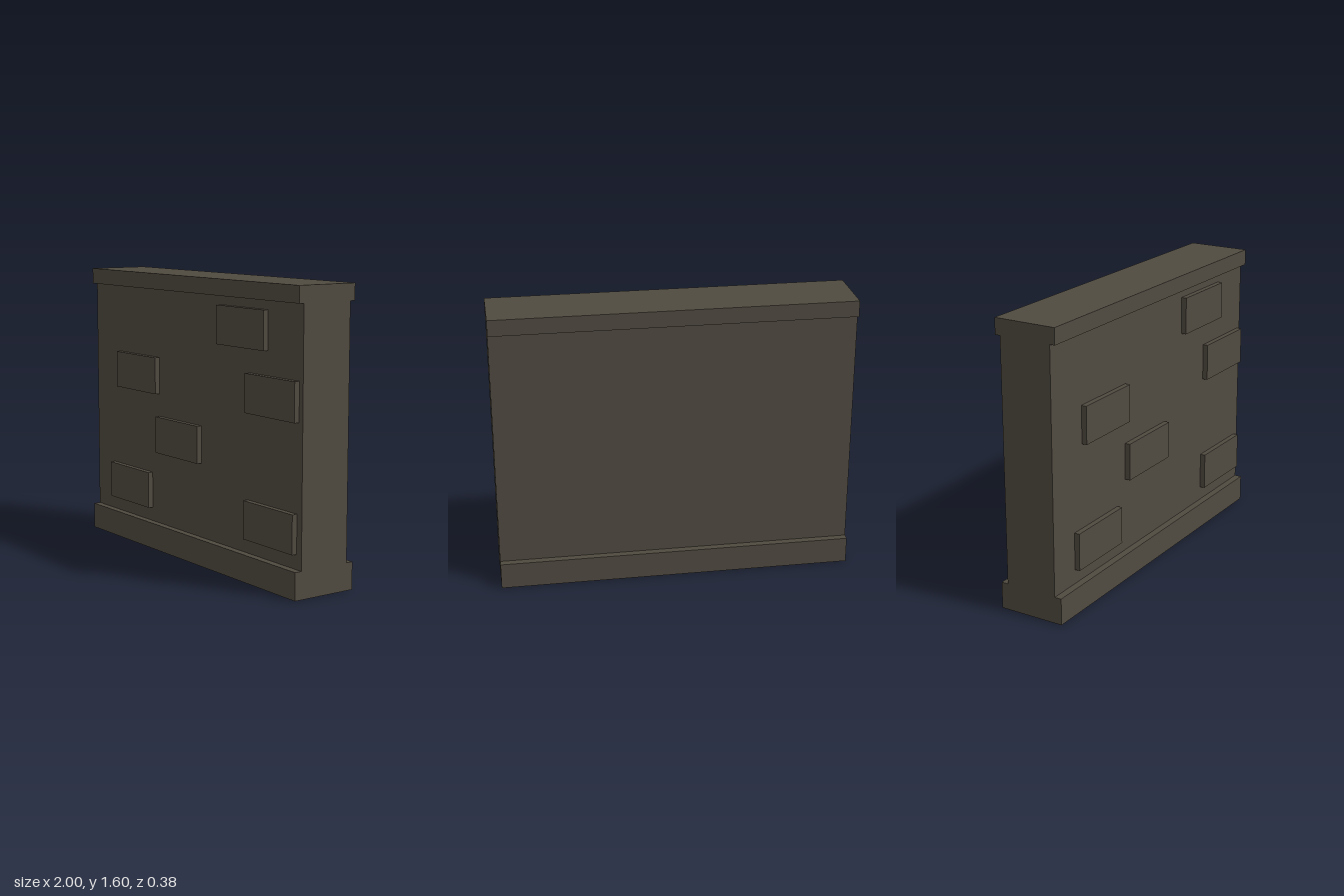
import * as THREE from 'three';

export function createModel() {
  const wall = new THREE.Group();
  wall.name = 'stoneWall';
  const stone = new THREE.MeshStandardMaterial({ color: 0x504a40 });
  stone.name = 'dark stone';

  // Box given by its width, vertical span and depth span
  const addBox = (name, x, width, [y0, y1], [z0, z1]) => {
    const mesh = new THREE.Mesh(new THREE.BoxGeometry(width, y1 - y0, z1 - z0), stone);
    mesh.name = name;
    mesh.position.set(x, (y0 + y1) / 2, (z0 + z1) / 2);
    wall.add(mesh);
  };

  // Plinth, wall and coping run the full length
  addBox('base', 0, 2, [0, 0.15], [-0.19, 0.19]);
  addBox('body', 0, 2, [0.15, 1.51], [-0.15, 0.15]);
  addBox('coping', 0, 2, [1.51, 1.6], [-0.18, 0.18]);

  // Raised stones on the front: centre x, bottom y
  const stones = [
    [-0.6, 0.23], [0.75, 0.23],
    [-0.1, 0.57],
    [-0.52, 0.91], [0.76, 0.91],
    [0.5, 1.25],
  ];
  stones.forEach(([x, y], i) =>
    addBox(`raisedStone${i + 1}`, x, 0.42, [y, y + 0.21], [0.15, 0.18]));

  return wall;
}
